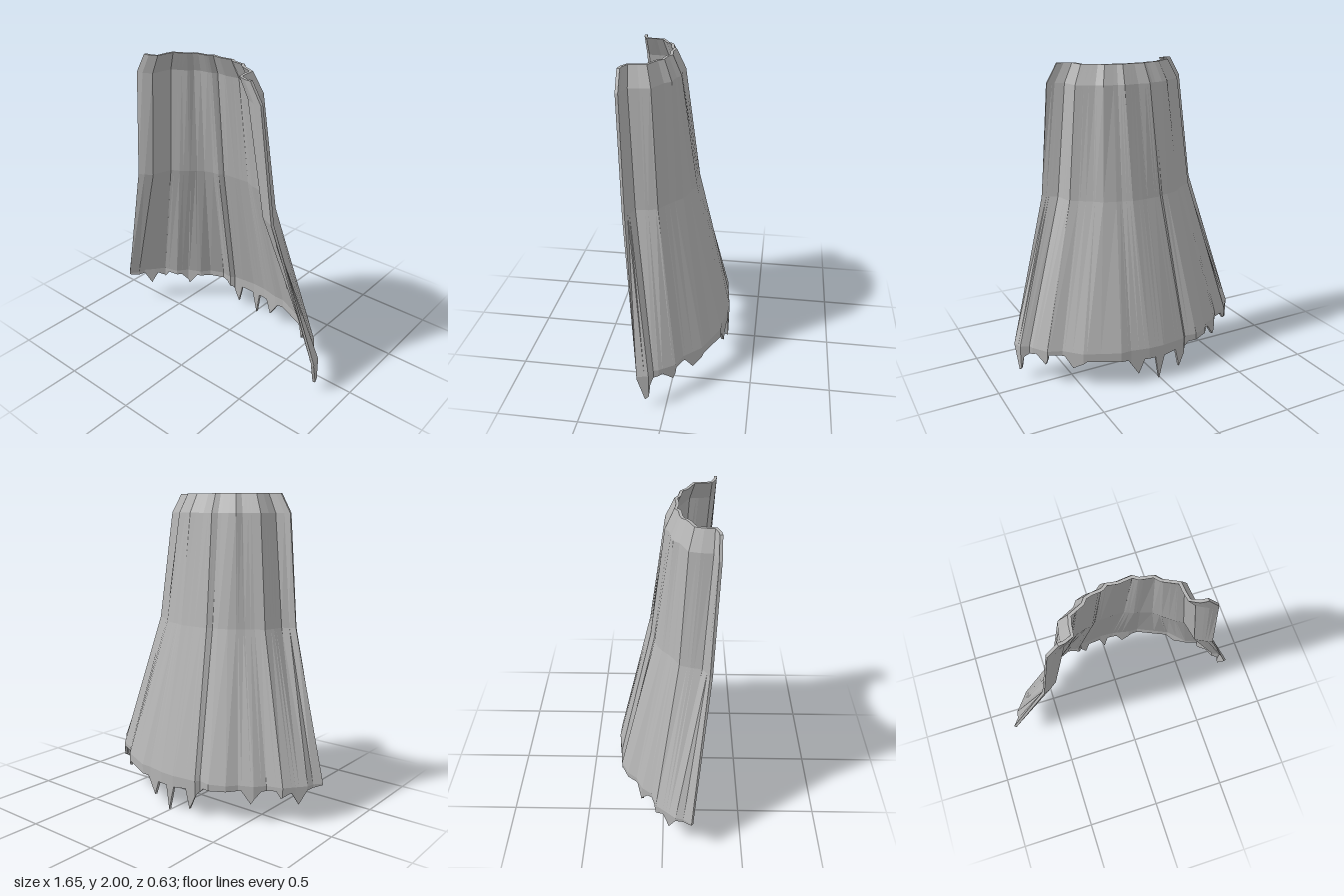
import * as THREE from 'three';

// Pleat columns from right to left: hem x, hem z, collar x, collar z
const PLEATS = [
  [-0.83, 0.18, -0.47, 0.295], [-0.79, 0.13, -0.43, 0.29], [-0.78, 0.08, -0.38, 0.27],
  [-0.73, 0.02, -0.375, 0.2], [-0.68, -0.045, -0.36, 0.135], [-0.58, -0.075, -0.31, 0.11],
  [-0.53, -0.14, -0.26, 0.085], [-0.44, -0.18, -0.235, 0.05], [-0.39, -0.24, -0.19, 0.035],
  [-0.29, -0.285, -0.14, 0.03], [-0.21, -0.27, -0.115, 0.025], [-0.19, -0.295, -0.085, 0],
  [-0.02, -0.315, -0.01, 0.012], [0.08, -0.31, 0.09, 0], [0.2, -0.285, 0.125, 0.025],
  [0.27, -0.285, 0.15, 0.03], [0.39, -0.23, 0.215, 0.04], [0.49, -0.185, 0.25, 0.08],
  [0.59, -0.08, 0.32, 0.115], [0.68, -0.045, 0.36, 0.135], [0.745, 0.05, 0.365, 0.2],
  [0.755, 0.08, 0.375, 0.265], [0.81, 0.1, 0.43, 0.29], [0.825, 0.17, 0.48, 0.295],
];
// Torn edge: x, y
const EDGE = [
  [-0.83, 0.225], [-0.78, 0.21], [-0.745, 0.12], [-0.715, 0.2], [-0.67, 0.165], [-0.64, 0.21],
  [-0.56, 0.2], [-0.515, 0.12], [-0.46, 0.2], [-0.24, 0.19], [-0.2, 0.15], [-0.15, 0.04],
  [-0.12, 0.17], [-0.03, 0.16], [0.01, 0], [0.035, 0.16], [0.11, 0.16], [0.15, 0.06],
  [0.22, 0.17], [0.47, 0.18], [0.54, 0.125], [0.58, 0.2], [0.67, 0.21], [0.69, 0.14],
  [0.73, 0.2], [0.79, 0.16], [0.815, 0.06], [0.825, 0.22],
];
const THICKNESS = 0.018;

// Linear lookup of row k at x
function sample(rows, x, k) {
  let i = 1;
  while (i < rows.length - 1 && rows[i][0] < x) i++;
  const a = rows[i - 1], b = rows[i];
  return THREE.MathUtils.lerp(a[k], b[k], (x - a[0]) / (b[0] - a[0]));
}

// Outer points of one column, from the collar rim down to the torn edge
function column(x) {
  const [zb, xt, zt] = [1, 2, 3].map(k => sample(PLEATS, x, k));
  const f = 0.32 - 0.12 * Math.abs(x);
  return [
    [xt * 0.85, 2, 0.3 + (zt - 0.3) * 0.82],
    [xt, 1.88, zt],
    [xt + (x - xt) * f, 1.17, zt + (zb - zt) * f],
    [x, 0.235, zb],
    [x, sample(EDGE, x, 1), zb],
  ];
}

function capeGeometry() {
  const xs = [...new Set([...PLEATS, ...EDGE].map(p => p[0]))].sort((a, b) => a - b);
  const outer = xs.map(column);
  // Inner skin is pushed in along the horizontal normal
  const inner = outer.map((col, i) => col.map((p, j) => {
    const a = outer[Math.max(i - 1, 0)][j], b = outer[Math.min(i + 1, xs.length - 1)][j];
    const tx = b[0] - a[0], tz = b[2] - a[2], l = Math.hypot(tx, tz) || 1;
    return [p[0] - tz / l * THICKNESS, p[1], p[2] + tx / l * THICKNESS];
  }));
  const loops = outer.map((col, i) => [...col, ...inner[i].slice().reverse()]);
  const pos = [];
  const quad = (a, b, c, d) => pos.push(...a, ...b, ...c, ...a, ...c, ...d);
  const n = loops[0].length;
  for (let i = 0; i < loops.length - 1; i++) {
    for (let j = 0; j < n; j++) {
      const k = (j + 1) % n;
      quad(loops[i][j], loops[i + 1][j], loops[i + 1][k], loops[i][k]);
    }
  }
  // Close both front edges
  const e = loops.length - 1;
  for (let j = 0; j < outer[0].length - 1; j++) {
    quad(outer[0][j], outer[0][j + 1], inner[0][j + 1], inner[0][j]);
    quad(outer[e][j], inner[e][j], inner[e][j + 1], outer[e][j + 1]);
  }
  const geo = new THREE.BufferGeometry();
  geo.setAttribute('position', new THREE.Float32BufferAttribute(pos, 3));
  geo.computeVertexNormals();
  return geo;
}

export function createModel() {
  const group = new THREE.Group();
  group.name = 'cape';
  const cloth = new THREE.MeshStandardMaterial({ color: 0xb4b4b4, side: THREE.DoubleSide, flatShading: true });
  cloth.name = 'grey cloth';
  const mesh = new THREE.Mesh(capeGeometry(), cloth);
  mesh.name = 'pleatedCloth';
  group.add(mesh);
  return group;
}
